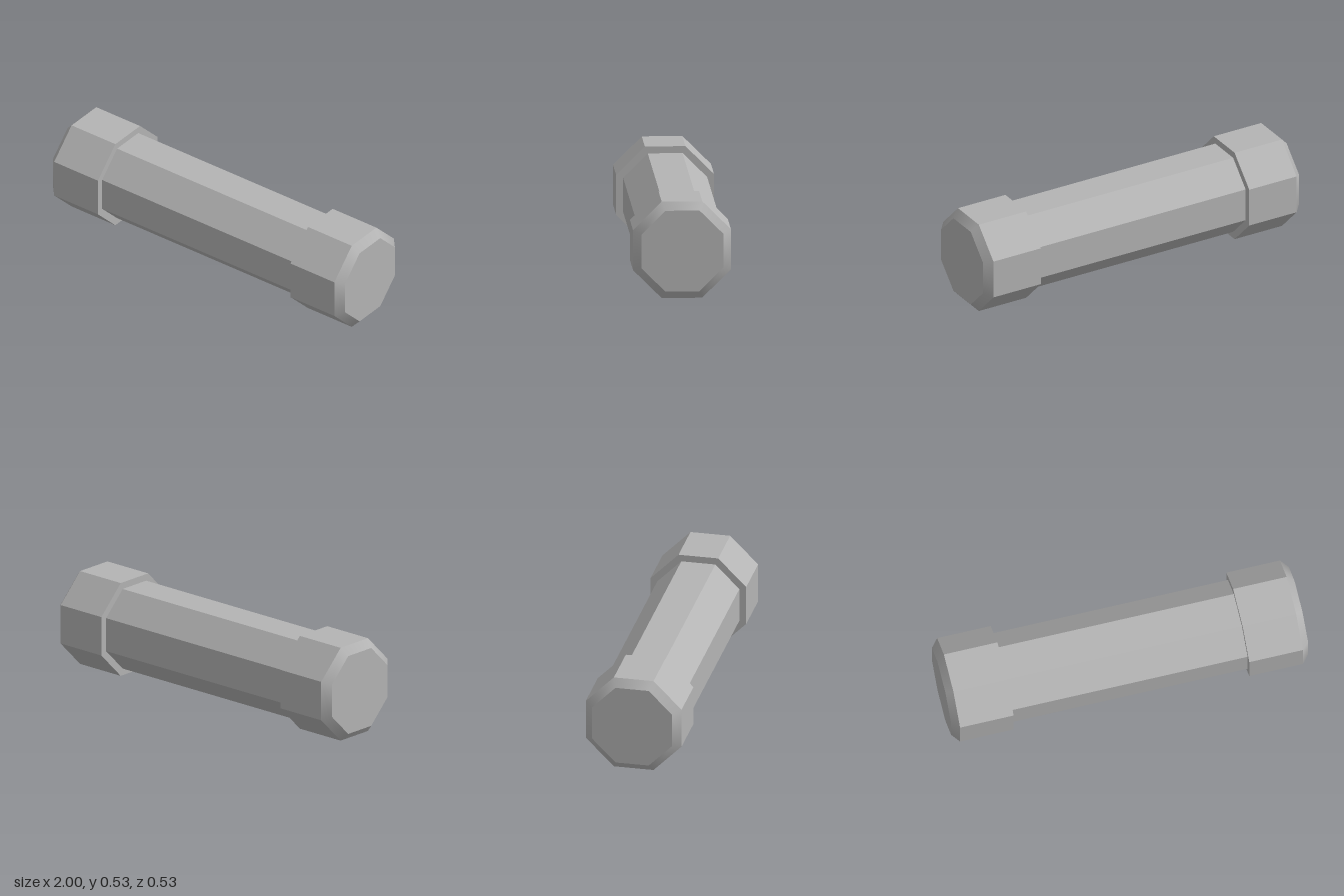
import * as THREE from 'three';

const SIDES = 8;
const CENTRE_Y = 0.267;

// Octagonal prism or frustum along x, given the flat-to-centre radius at each end
function octagon(x0, x1, r0, r1, open) {
  const k = 1 / Math.cos(Math.PI / SIDES);
  const g = new THREE.CylinderGeometry(r1 * k, r0 * k, x1 - x0, SIDES, 1, open);
  g.rotateY(Math.PI / SIDES);
  g.rotateZ(-Math.PI / 2);
  g.translate((x0 + x1) / 2, 0, 0);
  return g;
}

export function createModel() {
  const model = new THREE.Group();
  model.name = 'dumbbell';

  const grey = new THREE.MeshStandardMaterial({ color: 0xb4b4b4 });
  grey.name = 'grey';

  const add = (parent, name, geometry) => {
    const mesh = new THREE.Mesh(geometry, grey);
    mesh.name = name;
    parent.add(mesh);
  };
  // Facet normals are baked in, so flat and smooth parts share one material
  const flat = (geometry) => {
    const g = geometry.toNonIndexed();
    g.computeVertexNormals();
    return g;
  };

  // Central bar
  add(model, 'bar', flat(octagon(-0.67, 0.67, 0.229, 0.229, true)));

  // End weights: faceted body, softly shaded bevel, flat end face
  for (const side of [1, -1]) {
    const weight = new THREE.Group();
    weight.name = side > 0 ? 'leftWeight' : 'rightWeight';
    if (side < 0) weight.rotation.y = Math.PI;

    add(weight, 'weightBody', flat(octagon(0.66, 0.96, 0.267, 0.267, false)));
    add(weight, 'weightBevel', octagon(0.96, 1, 0.267, 0.224, true));

    const face = new THREE.CircleGeometry(0.224 / Math.cos(Math.PI / SIDES), SIDES, Math.PI / SIDES);
    face.rotateY(Math.PI / 2);
    face.translate(1, 0, 0);
    add(weight, 'weightEndFace', face);
    model.add(weight);
  }

  model.children.forEach((part) => { part.position.y = CENTRE_Y; });
  return model;
}
